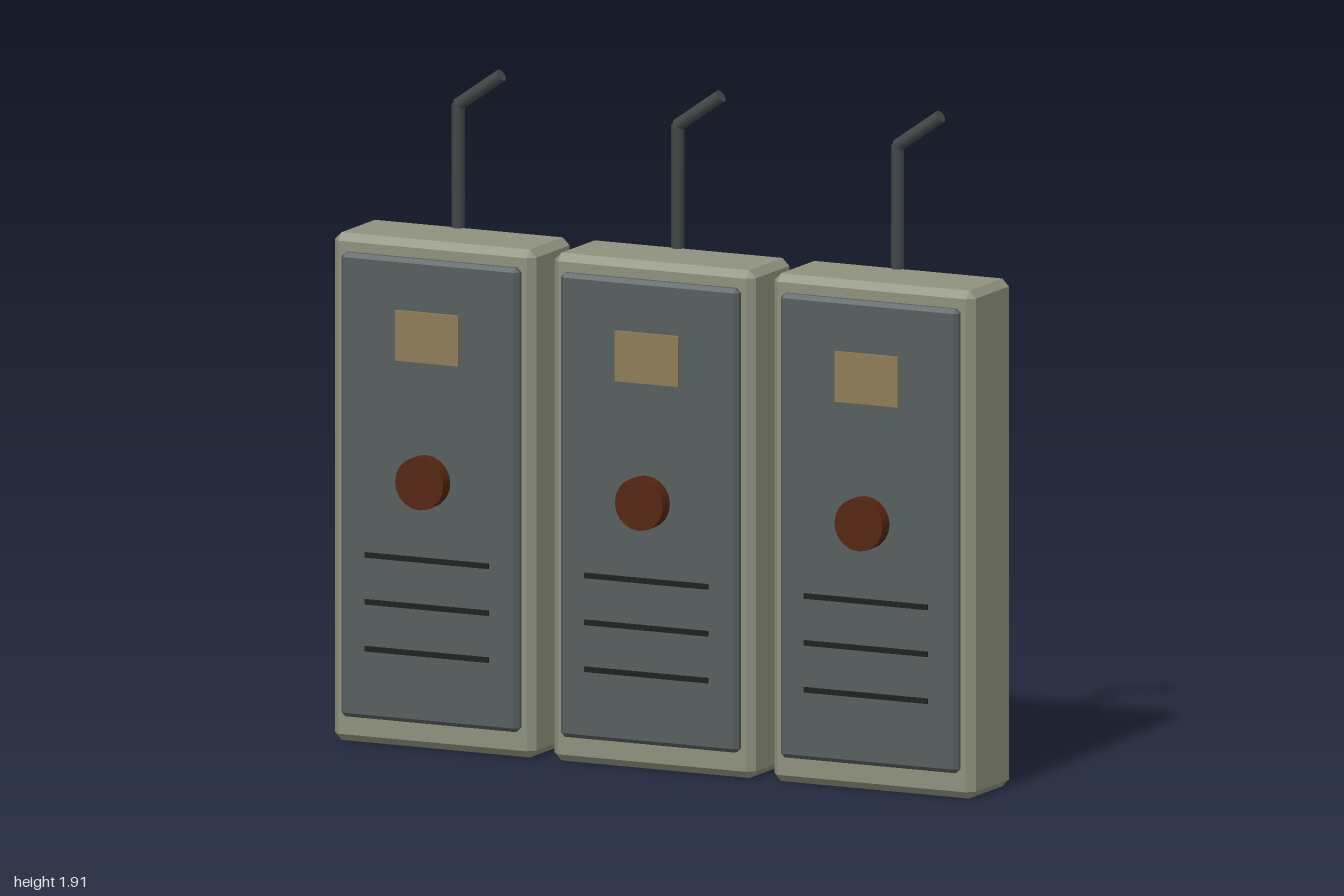
import * as THREE from 'three';
import { ConvexGeometry } from 'three/addons/geometries/ConvexGeometry.js';

const material = (name, color) => {
  const m = new THREE.MeshStandardMaterial({ color });
  m.name = name;
  return m;
};

// Box with every edge cut at 45 degrees by c
function chamferBox(w, h, d, c) {
  const x = w / 2, y = h / 2, z = d / 2, points = [];
  for (const sx of [-1, 1]) for (const sy of [-1, 1]) for (const sz of [-1, 1]) {
    points.push(
      new THREE.Vector3(sx * x, sy * (y - c), sz * (z - c)),
      new THREE.Vector3(sx * (x - c), sy * y, sz * (z - c)),
      new THREE.Vector3(sx * (x - c), sy * (y - c), sz * z));
  }
  return new ConvexGeometry(points);
}

export function createModel() {
  const olive = material('olive grey casing', 0x8e917d);
  const slate = material('slate panel', 0x565e5d);
  const tan = material('tan label', 0x8c7b55);
  const rust = material('rust knob', 0x54240f);
  const dark = material('dark slot', 0x1c1f1f);
  const metal = material('antenna metal', 0x3f4546);

  const add = (parent, name, geometry, mat, x, y, z) => {
    const mesh = new THREE.Mesh(geometry, mat);
    mesh.name = name;
    mesh.position.set(x, y, z);
    parent.add(mesh);
    return mesh;
  };

  // Shared part shapes
  const body = chamferBox(0.628, 1.44, 0.248, 0.021);
  const panel = chamferBox(0.555, 1.316, 0.04, 0.012);
  const label = new THREE.BoxGeometry(0.197, 0.143, 0.009);
  const knob = new THREE.CylinderGeometry(0.075, 0.075, 0.044, 20).rotateX(Math.PI / 2);
  const slot = new THREE.BoxGeometry(0.385, 0.015, 0.006);
  const post = new THREE.CylinderGeometry(0.0187, 0.0187, 0.35, 10);
  const tip = new THREE.CylinderGeometry(0.0187, 0.0187, 0.166, 10);

  const model = new THREE.Group();
  model.name = 'radioRow';
  [-0.685, 0, 0.685].forEach((x, i) => {
    const unit = new THREE.Group();
    unit.name = `radio${i + 1}`;
    unit.position.x = x;
    model.add(unit);

    // Casing and front
    add(unit, 'casing', body, olive, 0, 0.72, -0.041);
    add(unit, 'frontPanel', panel, slate, 0, 0.733, 0.087);
    add(unit, 'label', label, tan, 0, 1.173, 0.1145);
    add(unit, 'knob', knob, rust, 0, 0.768, 0.143);
    [0.543, 0.41, 0.277].forEach((y, j) =>
      add(unit, `speakerSlot${j + 1}`, slot, dark, 0, y, 0.119));

    // Bent antenna
    add(unit, 'antennaPost', post, metal, 0, 1.63, -0.077);
    add(unit, 'antennaTip', tip, metal, 0.067, 1.85, -0.077).rotation.z = -0.96;
  });
  return model;
}
